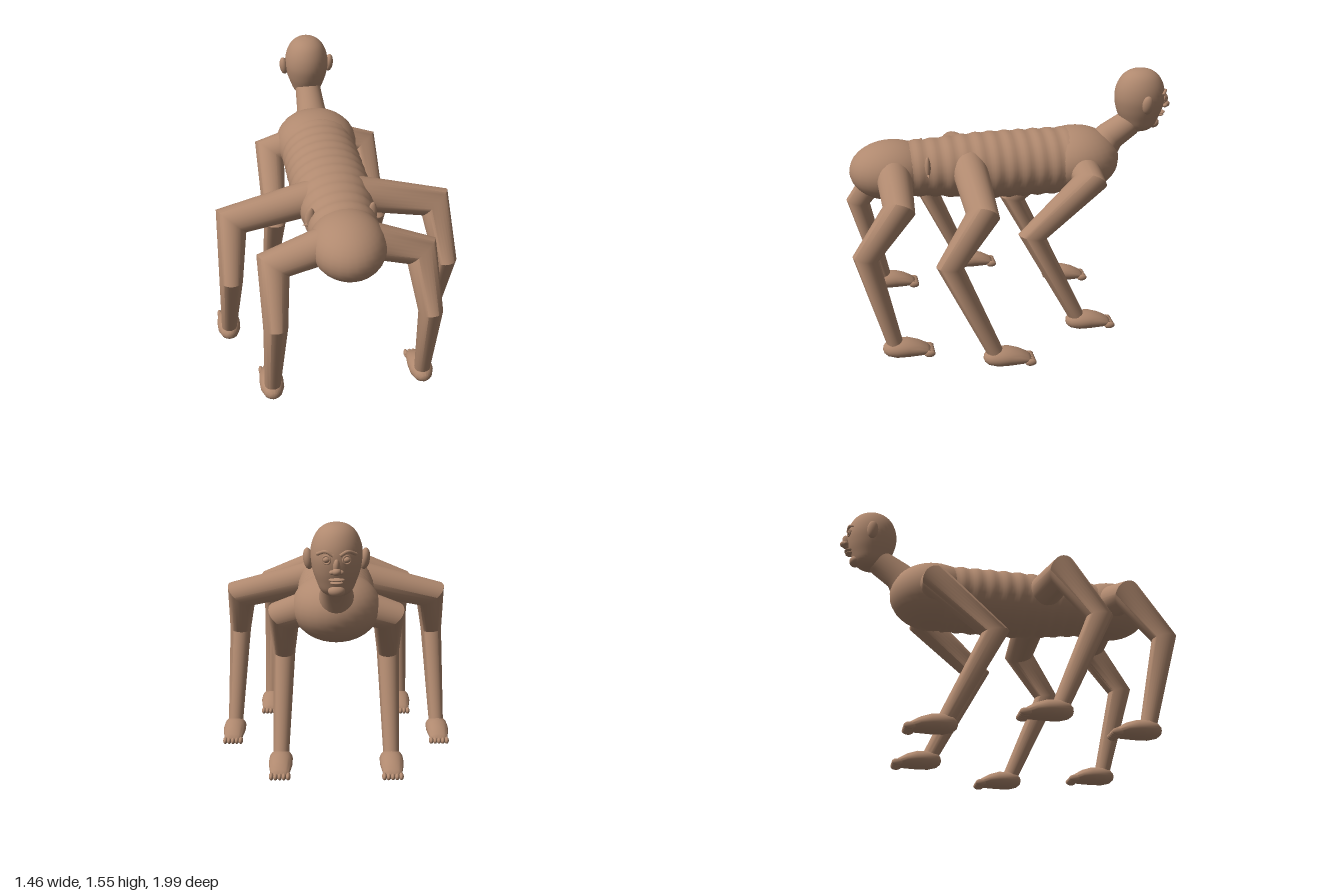
import * as THREE from 'three';
import { toCreasedNormals } from 'three/addons/utils/BufferGeometryUtils.js';

const V = (x, y, z) => new THREE.Vector3(x, y, z);
const SIDES = 28;

// Joins equal-sized closed rings of points into one surface
function skin(rings, crease = 0.75) {
  const pos = [], idx = [], n = rings[0].length;
  rings.forEach((ring) => ring.forEach((p) => pos.push(p.x, p.y, p.z)));
  for (let i = 0; i < rings.length - 1; i++) {
    for (let j = 0; j < n; j++) {
      const k = (j + 1) % n, a = i * n + j, b = i * n + k;
      idx.push(a, b, a + n, b, b + n, a + n);
    }
  }
  const g = new THREE.BufferGeometry();
  g.setAttribute('position', new THREE.Float32BufferAttribute(pos, 3));
  g.setIndex(idx);
  return toCreasedNormals(g, crease);
}

// Elliptical sections [z, rx, ry, y], listed from back to front
function loft(sections) {
  return skin(sections.map(([z, rx, ry, y]) => Array.from({ length: SIDES }, (_, j) => {
    const t = (j / SIDES) * Math.PI * 2;
    return V(Math.cos(t) * rx, y - Math.sin(t) * ry, z);
  })), 1.2);
}

// Round limb through joints, mitred at each bend
function limb(points, radii) {
  const last = points.length - 1;
  const dirs = points.slice(1).map((p, i) => p.clone().sub(points[i]).normalize());
  const d0 = dirs[0];
  let u = V(0, 0, 1).addScaledVector(d0, -d0.z).normalize();
  const rings = points.map((p, i) => {
    const din = dirs[Math.max(i - 1, 0)], dout = dirs[Math.min(i, last - 1)];
    const v = din.clone().cross(u);
    const n = din.clone().add(dout).normalize();
    const ring = Array.from({ length: SIDES }, (_, j) => {
      const t = (j / SIDES) * Math.PI * 2;
      const o = u.clone().multiplyScalar(Math.cos(t) * radii[i]).addScaledVector(v, Math.sin(t) * radii[i]);
      o.addScaledVector(din, -o.dot(n) / din.dot(n));
      return o.add(p);
    });
    u = u.clone().applyQuaternion(new THREE.Quaternion().setFromUnitVectors(din, dout));
    return ring;
  });
  return skin(rings);
}

export function createModel() {
  const root = new THREE.Group();
  const skinTone = new THREE.MeshStandardMaterial({ color: 0xb0896f });
  skinTone.name = 'skin';

  const add = (name, geo, parent = root) => {
    const m = new THREE.Mesh(geo, skinTone);
    m.name = name;
    parent.add(m);
    return m;
  };
  const ball = (name, p, s, parent = root) => {
    const m = add(name, new THREE.SphereGeometry(1, 28, 20), parent);
    m.position.set(...p);
    m.scale.set(...s);
    return m;
  };

  // Trunk: round rear, ribbed middle, broad chest
  ball('hindquarters', [0, 1.015, 0.715], [0.212, 0.177, 0.252]);
  ball('chest', [0, 1.01, -0.41], [0.255, 0.2, 0.265]);
  const ribs = [];
  for (let i = 0; i <= 60; i++) {
    const z = 0.64 - i * 0.0165;
    const swell = THREE.MathUtils.smoothstep(-z, -0.6, -0.1);
    const ripple = 0.004 * Math.sin((z * Math.PI * 2) / 0.09);
    ribs.push([z, 0.195 + 0.037 * swell + ripple, 0.165 + 0.033 * swell + ripple, 1.015 - 0.01 * swell]);
  }
  add('ribbedAbdomen', loft(ribs));

  // Neck
  add('neck', limb([V(0, 1.03, -0.54), V(0, 1.14, -0.63), V(0, 1.21, -0.735), V(0, 1.27, -0.79)],
    [0.12, 0.09, 0.082, 0.08]));

  // Head
  const head = new THREE.Group();
  head.name = 'head';
  head.position.z = -0.805;
  root.add(head);
  const profile = new THREE.SplineCurve([[0, 1.165], [0.05, 1.172], [0.085, 1.2], [0.107, 1.25],
    [0.127, 1.31], [0.138, 1.38], [0.129, 1.45], [0.1, 1.51], [0.055, 1.545], [0, 1.556]]
    .map(([r, y]) => new THREE.Vector2(r, y))).getPoints(40);
  profile.forEach((p) => { p.x = Math.max(p.x, 0); });
  const skull = add('skull', new THREE.LatheGeometry(profile, 36), head);
  skull.scale.z = 1.12;

  // Face
  const nose = ball('nose', [0, 1.345, -0.155], [0.019, 0.045, 0.026], head);
  nose.rotation.x = -0.25;
  ball('noseTip', [0, 1.325, -0.17], [0.024, 0.02, 0.025], head);
  ball('upperLip', [0, 1.277, -0.135], [0.042, 0.009, 0.03], head);
  ball('lowerLip', [0, 1.26, -0.13], [0.034, 0.009, 0.028], head);
  ball('chin', [0, 1.21, -0.095], [0.045, 0.032, 0.035], head);
  for (const s of [1, -1]) {
    const ear = ball('ear', [s * 0.148, 1.365, -0.005], [0.027, 0.057, 0.034], head);
    ear.rotation.z = -s * 0.12;
    ball('nostril', [s * 0.023, 1.32, -0.158], [0.015, 0.012, 0.016], head);
    ball('eye', [s * 0.052, 1.382, -0.138], [0.019, 0.016, 0.017], head);
    const lid = add('eyelid', new THREE.TorusGeometry(0.021, 0.005, 8, 20), head);
    lid.position.set(s * 0.052, 1.382, -0.144);
    lid.rotation.y = -s * 0.35;
    const browPath = new THREE.CatmullRomCurve3([V(s * 0.018, 1.405, -0.152), V(s * 0.055, 1.425, -0.146), V(s * 0.1, 1.408, -0.115)]);
    add('brow', new THREE.TubeGeometry(browPath, 16, 0.009, 10), head);
  }

  // Legs: each row gives hip, bend, knee and ankle; left, then mirrored bend by bend
  const legs = [
    ['frontLeg', [0.1, 1.02, -0.41], [0.3, 0.96, -0.42], [0.318, 0.65, -0.075], [0.33, 0.07, -0.365]],
    ['middleLeg', [0.12, 1.045, 0.27], [0.605, 0.93, 0.27], [0.635, 0.65, 0.462], [0.658, 0.07, 0.205]],
    ['rearLeg', [0.1, 1.035, 0.715], [0.415, 0.92, 0.715], [0.432, 0.65, 0.915], [0.45, 0.07, 0.77]],
  ];
  for (const [name, hip, bend, knee, ankle] of legs) {
    for (const s of [1, -1]) {
      const leg = new THREE.Group();
      leg.name = (s > 0 ? 'left_' : 'right_') + name;
      root.add(leg);
      const joints = [hip, bend, knee, ankle].map(([x, y, z]) => V(s * x, y, z));
      add('limb', limb(joints, [0.105, 0.088, 0.068, 0.046]), leg);

      // Foot with five short toes pointing forward
      const foot = new THREE.Group();
      foot.name = 'foot';
      foot.position.set(s * ankle[0], 0, ankle[2] + 0.08);
      leg.add(foot);
      add('sole', loft([[0, 0, 0, 0.062], [-0.008, 0.026, 0.024, 0.062], [-0.03, 0.05, 0.043, 0.062],
        [-0.08, 0.069, 0.056, 0.062], [-0.15, 0.071, 0.055, 0.06], [-0.21, 0.064, 0.044, 0.051],
        [-0.26, 0.055, 0.028, 0.038], [-0.28, 0.04, 0.016, 0.032], [-0.284, 0, 0, 0.032]]), foot);
      for (let t = -2; t <= 2; t++) {
        ball('toe', [t * 0.0245, 0.027, -0.272], [0.0145, 0.021, 0.033], foot);
      }
    }
  }

  // Small hip spurs on the flanks
  for (const s of [1, -1]) {
    const spur = add('hipSpur', new THREE.ConeGeometry(0.022, 0.06, 12));
    spur.position.set(s * 0.195, 1.03, 0.52);
    spur.rotation.z = -s * Math.PI / 2;
    spur.scale.z = 0.7;
    ball('flankRidge', [s * 0.175, 1.07, 0.52], [0.025, 0.07, 0.018]);
  }

  return root;
}
